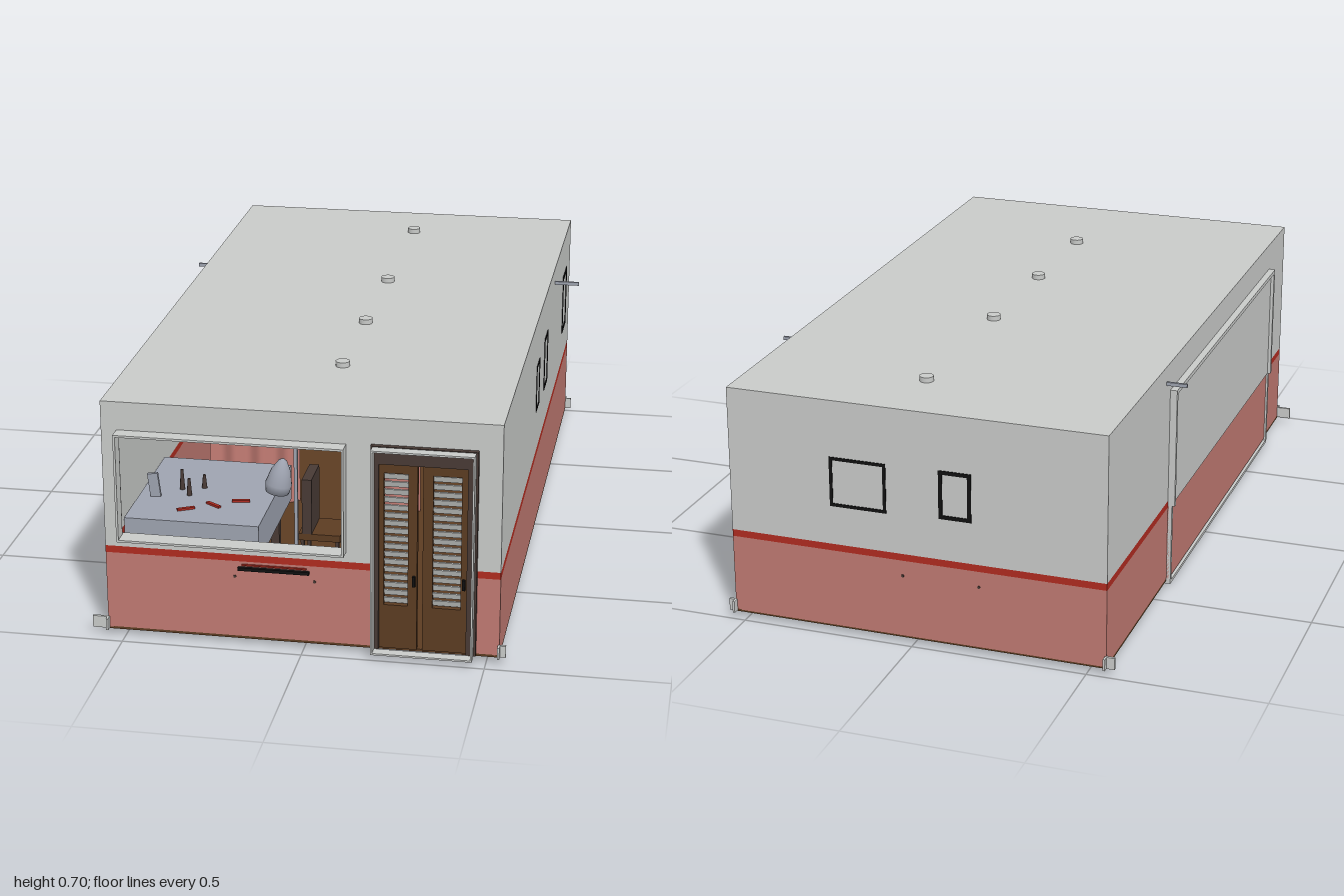
import * as THREE from 'three';

const paint = (name, color) => {
  const m = new THREE.MeshStandardMaterial({ color });
  m.name = name;
  return m;
};

export function createModel() {
  const model = new THREE.Group();
  model.name = 'shopBuilding';
  const grey = paint('pale grey', 0xc9cbc9);
  const pink = paint('dusty pink', 0xc07a72);
  const red = paint('brick red', 0xb02b20);
  const brown = paint('wood brown', 0x5c3c22);
  const dark = paint('dark brown', 0x483a35);
  const black = paint('black', 0x101010);
  const steel = paint('blue grey', 0x9ea3b0);
  const redCloth = paint('curtain red', 0xaf2a1f);
  const pinkCloth = paint('curtain pink', 0xc27b73);
  redCloth.side = pinkCloth.side = THREE.DoubleSide;

  const add = (name, geo, mat, x = 0, y = 0, z = 0, parent = model) => {
    const mesh = new THREE.Mesh(geo, mat);
    mesh.name = name;
    mesh.position.set(x, y, z);
    parent.add(mesh);
    return mesh;
  };
  // Box given by its limits on each axis
  const box = (name, mat, x0, x1, y0, y1, z0, z1, parent = model) =>
    add(name, new THREE.BoxGeometry(x1 - x0, y1 - y0, z1 - z0), mat,
      (x0 + x1) / 2, (y0 + y1) / 2, (z0 + z1) / 2, parent);
  const cyl = (name, mat, r0, r1, h, x, y, z, sides = 12) =>
    add(name, new THREE.CylinderGeometry(r0, r1, h, sides), mat, x, y, z);

  const X0 = -0.55, X1 = 0.535, Z0 = -0.98, Z1 = 0.955, T = 0.015;

  // Side and back walls in three bands of colour
  const bands = [[pink, 0.02, 0.245], [red, 0.245, 0.265], [grey, 0.265, 0.67]];
  for (const [mat, y0, y1] of bands) {
    box('leftWall', mat, X1 - T, X1, y0, y1, Z0, Z1);
    box('rightWall', mat, X0, X0 + T, y0, y1, Z0, Z1);
    box('backWall', mat, X0 + T, X1 - T, y0, y1, Z0, Z0 + T);
  }
  box('floor', brown, X0, X1, 0.015, 0.022, Z0, Z1);
  box('roof', grey, X0, X1, 0.67, 0.685, Z0, Z1);

  // Front wall around the window and the doorway
  const front = (mat, x0, x1, y0, y1) => box('frontWall', mat, x0, x1, y0, y1, Z1 - T, Z1);
  for (const [mat, y0, y1] of bands) {
    front(mat, 0.46, X1 - T, y0, y1);
    if (mat !== grey) front(mat, X0 + T, 0.197, y0, y1);
  }
  front(grey, X0 + T, 0.197, 0.265, 0.3);
  front(grey, X0 + T, -0.505, 0.3, 0.6);
  front(grey, 0.115, 0.197, 0.3, 0.6);
  front(grey, X0 + T, 0.197, 0.6, 0.67);
  front(grey, 0.197, 0.46, 0.603, 0.67);

  // Thin box surrounds, open at the front
  const surround = (name, mat, x0, x1, y0, y1, z0, z1, t) => {
    const g = new THREE.Group();
    g.name = name;
    model.add(g);
    box('side', mat, x0, x0 + t, y0, y1, z0, z1, g);
    box('side', mat, x1 - t, x1, y0, y1, z0, z1, g);
    box('head', mat, x0 + t, x1 - t, y1 - t, y1, z0, z1, g);
    box('sill', mat, x0 + t, x1 - t, y0, y0 + t, z0, z1, g);
  };
  surround('windowSurround', grey, -0.507, 0.117, 0.295, 0.605, Z1, 0.997, 0.006);
  surround('doorSurround', grey, 0.19, 0.466, 0.016, 0.608, 0.97, 1, 0.005);

  // Dark door casing
  box('doorCasing', dark, 0.185, 0.207, 0.02, 0.61, 0.945, 0.97);
  box('doorCasing', dark, 0.445, 0.472, 0.02, 0.61, 0.945, 0.97);
  box('doorCasing', dark, 0.207, 0.445, 0.56, 0.61, 0.945, 0.97);

  // Louvred door leaves
  for (const [x0, x1, s0, s1] of [[0.207, 0.31, 0.22, 0.285], [0.325, 0.445, 0.352, 0.428]]) {
    const g = new THREE.Group();
    g.name = 'doorLeaf';
    model.add(g);
    box('stile', brown, x0, s0, 0.022, 0.557, 0.94, 0.96, g);
    box('stile', brown, s1, x1, 0.022, 0.557, 0.94, 0.96, g);
    box('lowerPanel', brown, s0, s1, 0.022, 0.15, 0.94, 0.96, g);
    box('topRail', brown, s0, s1, 0.532, 0.557, 0.94, 0.96, g);
    const n = 17;
    for (let i = 0; i < n; i++) {
      const slat = box('slat', grey, s0, s1, 0, 0.018, 0.947, 0.951, g);
      slat.position.y = 0.15 + (i + 0.5) * 0.382 / n;
      slat.rotation.x = 0.35;
    }
    box('doorHandle', black, x1 - 0.012, x1 - 0.004, 0.21, 0.24, 0.96, 0.968, g);
  }

  // Black picture outlines: u runs along the wall, "at" is the wall plane
  const outline = (axis, at, u0, u1, y0, y1, w = 0.009) => {
    const bars = [[u0, u0 + w, y0, y1], [u1 - w, u1, y0, y1],
      [u0 + w, u1 - w, y0, y0 + w], [u0 + w, u1 - w, y1 - w, y1]];
    for (const [a, b, c, d] of bars) {
      if (axis === 'x') box('pictureOutline', black, at - 0.002, at + 0.002, c, d, a, b);
      else box('pictureOutline', black, a, b, c, d, at - 0.002, at + 0.002);
    }
  };
  for (const at of [X1, X1 - T]) {
    outline('x', at, 0.008, 0.092, 0.4, 0.543, 0.007);
    outline('x', at, -0.236, -0.138, 0.385, 0.55, 0.01);
    outline('x', at, -0.858, -0.738, 0.367, 0.563, 0.013);
  }
  for (const at of [Z0, Z0 + T]) {
    outline('z', at, 0.074, 0.238, 0.378, 0.522);
    outline('z', at, -0.17, -0.077, 0.385, 0.525, 0.011);
  }
  box('picture', brown, -0.148, -0.098, 0.41, 0.5, Z0 + T, Z0 + T + 0.004);

  // Shutter panel with its frame on the right side
  const PZ0 = -0.4, PZ1 = 0.755;
  box('shutterUpper', grey, -0.56, X0, 0.25, 0.595, PZ0, PZ1);
  box('shutterLower', pink, -0.556, X0, 0.02, 0.25, PZ0, PZ1);
  box('shutterFrame', grey, -0.57, X0, 0.59, 0.602, PZ0, PZ1);
  for (const z of [PZ0, PZ1 - 0.012]) {
    box('shutterFrame', grey, -0.57, X0, 0.25, 0.59, z, z + 0.012);
    box('shutterFrame', grey, -0.562, X0, 0.006, 0.25, z, z + 0.012);
  }
  box('shutterTrack', grey, -0.562, -0.545, 0.006, 0.015, PZ0, PZ1);

  // Side rods, skirting ends and feet
  box('sideRod', steel, -0.61, X0, 0.631, 0.641, -0.444, -0.436);
  box('sideRod', steel, X1, 0.61, 0.631, 0.641, -0.444, -0.436);
  for (const z of [Z0 - 0.005, Z1 - 0.003]) {
    box('skirtingEnd', grey, z > 0 ? -0.593 : -0.575, X0, 0.018, 0.052, z, z + 0.008);
    box('skirtingEnd', grey, X1, 0.553, 0.018, 0.052, z, z + 0.008);
  }
  for (const x of [X0 - 0.002, X1 - 0.004]) {
    box('skirtingEnd', grey, x, x + 0.006, 0.018, 0.052, Z1, Z1 + 0.02);
    box('skirtingEnd', grey, x, x + 0.006, 0.018, 0.052, Z0 - 0.02, Z0);
  }
  for (const z of [-0.605, -0.83]) cyl('foot', grey, 0.017, 0.017, 0.015, -0.497, 0.0075, z);

  // Roof caps with a lamp hanging below each
  for (const z of [-0.755, -0.215, 0.19, 0.57]) {
    cyl('roofCap', grey, 0.02, 0.02, 0.015, 0.04, 0.692, z, 16);
    cyl('lampCord', grey, 0.005, 0.005, 0.08, 0.04, 0.635, z, 8);
    add('lampGlobe', new THREE.SphereGeometry(0.027, 16, 10), grey, 0.04, 0.57, z);
  }

  // Bar and studs below the window
  box('frontBar', black, -0.18, 0.016, 0.221, 0.23, Z1, 0.965);
  box('frontBarTrim', red, -0.17, 0.008, 0.234, 0.238, Z1, 0.96);
  for (const z of [Z0, Z1]) for (const x of [-0.19, 0.03])
    cyl('stud', dark, 0.004, 0.004, 0.006, x, 0.2, z, 8).rotation.x = Math.PI / 2;

  // Pleated two-tone curtains across the room
  const curtain = (mat, x0, x1, y0, y1) => {
    const geo = new THREE.PlaneGeometry(x1 - x0, y1 - y0, 28, 1);
    const p = geo.attributes.position;
    for (let i = 0; i < p.count; i++) p.setZ(i, 0.012 * Math.sin(p.getX(i) * 75));
    geo.computeVertexNormals();
    add('curtain', geo, mat, (x0 + x1) / 2, (y0 + y1) / 2, 0);
  };
  for (const [x0, x1] of [[-0.48, -0.2], [-0.04, 0.18]]) {
    curtain(pinkCloth, x0, x1, 0.022, 0.455);
    curtain(redCloth, x0, x1, 0.455, 0.67);
  }

  // Work table and things lying on it
  box('tableTop', steel, -0.53, -0.15, 0.19, 0.295, 0.37, 0.83);
  for (const x of [-0.5, -0.2]) for (const z of [0.41, 0.77])
    box('tableLeg', dark, x, x + 0.025, 0.022, 0.19, z, z + 0.025);
  box('tablet', steel, -0.5, -0.47, 0.295, 0.365, 0.66, 0.67).rotation.z = 0.12;
  for (const [x, z, h] of [[-0.42, 0.6, 0.06], [-0.39, 0.64, 0.05], [-0.36, 0.58, 0.04]])
    cyl('bottle', dark, 0.004, 0.008, h, x, 0.295 + h / 2, z, 8);
  for (const [x, z, a] of [[-0.4, 0.74, 0.5], [-0.33, 0.7, -0.6], [-0.26, 0.66, 0.2]])
    box('tool', red, x, x + 0.05, 0.295, 0.301, z, z + 0.01).rotation.y = a;

  // Desk lamp with a teardrop shade
  const drop = [[0, 0], [0.034, 0.004], [0.038, 0.03], [0.028, 0.07], [0.012, 0.1], [0, 0.108]];
  add('lampShade', new THREE.LatheGeometry(drop.map(([x, y]) => new THREE.Vector2(x, y)), 20),
    steel, -0.145, 0.303, 0.6).rotation.z = -0.18;
  box('lampStem', steel, -0.098, -0.088, 0.022, 0.45, 0.58, 0.59);
  add('lampHead', new THREE.SphereGeometry(0.02, 12, 8), steel, -0.115, 0.47, 0.585);

  // Chair
  box('chairSeat', brown, -0.08, 0.04, 0.17, 0.19, 0.5, 0.62);
  box('chairBack', dark, -0.07, -0.042, 0.19, 0.355, 0.5, 0.62);
  for (const x of [-0.075, 0.025]) for (const z of [0.505, 0.605])
    box('chairLeg', dark, x, x + 0.01, 0.022, 0.17, z, z + 0.01);

  return model;
}
